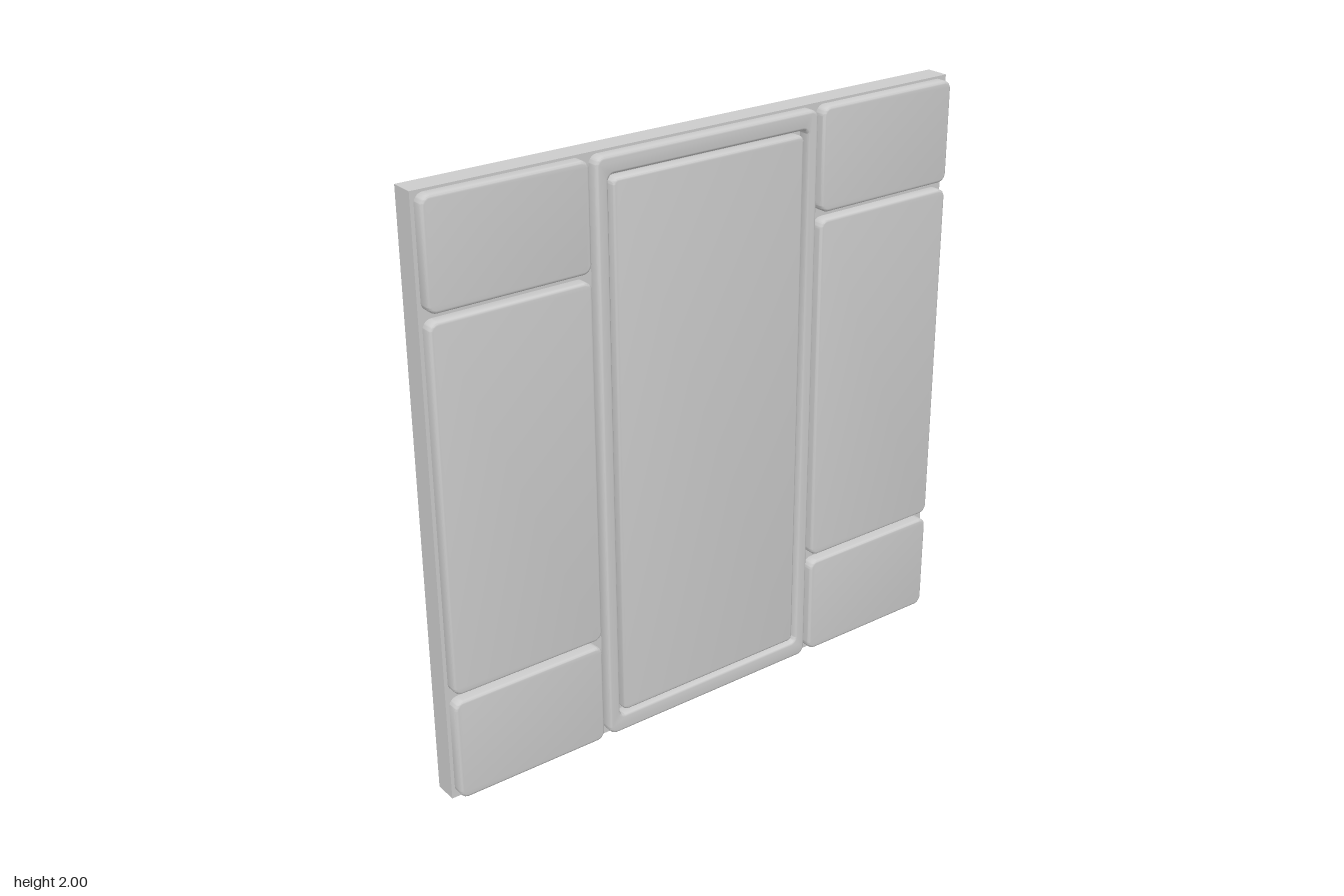
import * as THREE from 'three';
import { toCreasedNormals } from 'three/addons/utils/BufferGeometryUtils.js';

const material = new THREE.MeshStandardMaterial({ color: 0xcccccc });
const BEVEL = 0.01;
const FRONT = 0.06; // face of the raised panels

// Rounded rectangle outline from its bounds
function roundedRect(path, x0, x1, y0, y1, r) {
  path.moveTo(x0 + r, y0);
  path.lineTo(x1 - r, y0);
  path.absarc(x1 - r, y0 + r, r, -Math.PI / 2, 0);
  path.lineTo(x1, y1 - r);
  path.absarc(x1 - r, y1 - r, r, 0, Math.PI / 2);
  path.lineTo(x0 + r, y1);
  path.absarc(x0 + r, y1 - r, r, Math.PI / 2, Math.PI);
  path.lineTo(x0, y0 + r);
  path.absarc(x0 + r, y0 + r, r, Math.PI, Math.PI * 1.5);
  return path;
}

// Panel with a softened front edge; its back is sunk into the slab
function raisedPanel(name, shape) {
  const geometry = new THREE.ExtrudeGeometry(shape, {
    depth: FRONT - 2 * BEVEL,
    bevelSize: BEVEL,
    bevelThickness: BEVEL,
    bevelOffset: -BEVEL,
    bevelSegments: 4,
    curveSegments: 8,
  });
  geometry.translate(0, 0, BEVEL);
  const mesh = new THREE.Mesh(toCreasedNormals(geometry, 0.6), material);
  mesh.name = name;
  return mesh;
}

export function createModel() {
  const model = new THREE.Group();
  model.name = 'wallPanel';

  // Backing slab
  const slab = new THREE.Mesh(new THREE.BoxGeometry(2, 2, 0.08), material);
  slab.name = 'backingSlab';
  slab.position.set(0, 1, -0.02);
  model.add(slab);

  // Three tiles stacked on each side
  const rows = [
    ['lower', 0.012, 0.37],
    ['middle', 0.395, 1.623],
    ['upper', 1.647, 1.992],
  ];
  for (const [side, x0, x1] of [['Left', 0.44, 0.988], ['Right', -0.988, -0.44]]) {
    for (const [row, y0, y1] of rows) {
      model.add(raisedPanel(row + side + 'Tile', roundedRect(new THREE.Shape(), x0, x1, y0, y1, 0.03)));
    }
  }

  // Central frame, with a groove around the inset panel
  const frame = roundedRect(new THREE.Shape(), -0.419, 0.419, 0.012, 1.992, 0.03);
  frame.holes.push(roundedRect(new THREE.Path(), -0.376, 0.376, 0.073, 1.933, 0.02));
  model.add(raisedPanel('centralFrame', frame));
  model.add(raisedPanel('centralPanel', roundedRect(new THREE.Shape(), -0.362, 0.362, 0.087, 1.919, 0.02)));

  return model;
}
